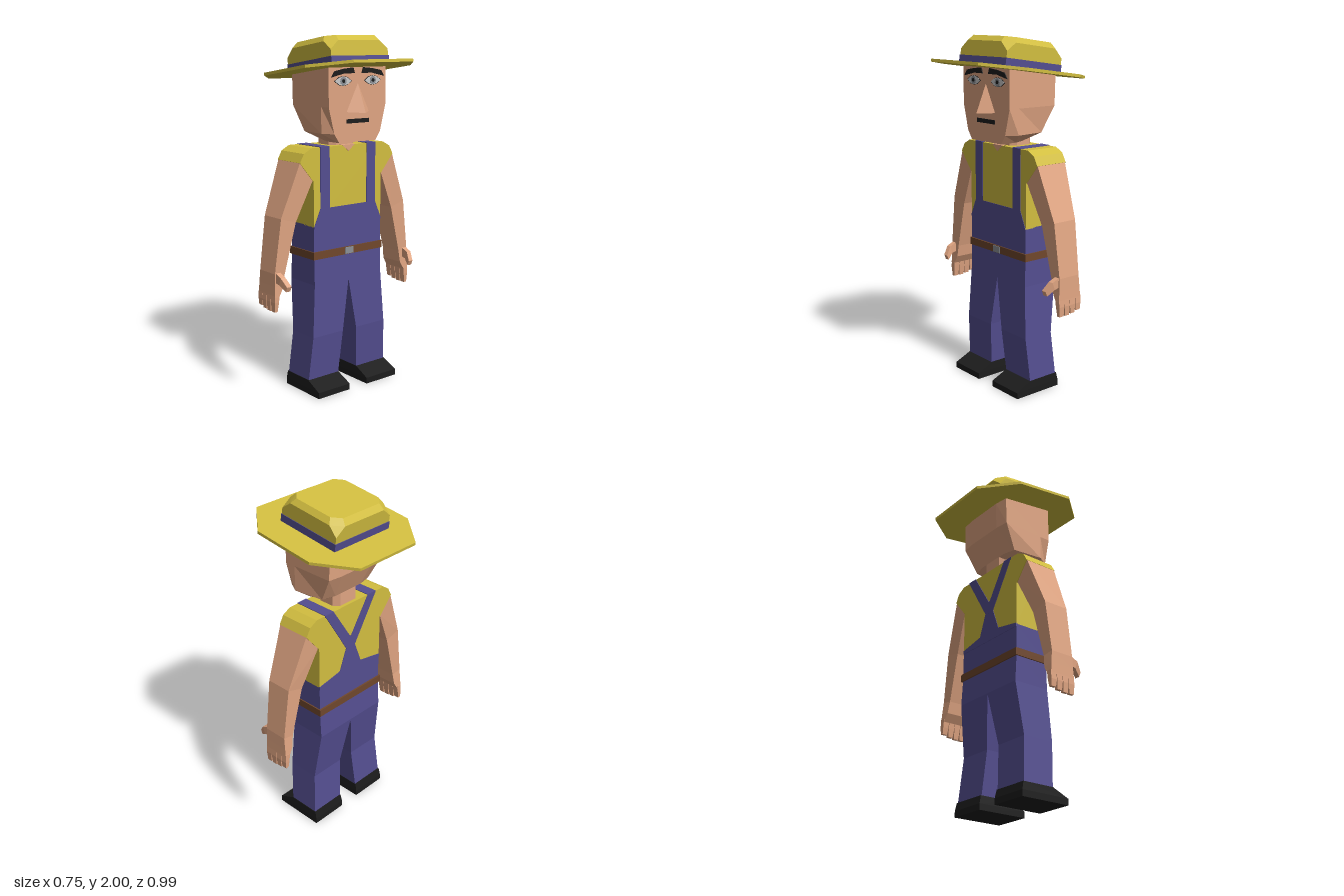
import * as THREE from 'three';
import { ConvexGeometry } from 'three/addons/geometries/ConvexGeometry.js';

const mat = (color) => new THREE.MeshStandardMaterial({ color, flatShading: true });
const SKIN = mat(0xe0a582), YELLOW = mat(0xd2be40), BLUE = mat(0x544e90), BLACK = mat(0x1c1c1c);
const BROWN = mat(0x70472c), WHITE = mat(0xe8e8e8), GREY = mat(0x8c9096);

function add(parent, name, geometry, material) {
  const mesh = new THREE.Mesh(geometry, material);
  mesh.name = name;
  parent.add(mesh);
  return mesh;
}

// Skin a stack of equal-length rings, cap both ends, and face it outwards
function loft(rings) {
  const tris = [], n = rings[0].length, last = rings[rings.length - 1];
  for (let r = 0; r < rings.length - 1; r++) {
    for (let i = 0; i < n; i++) {
      const j = (i + 1) % n, a = rings[r], b = rings[r + 1];
      tris.push([a[i], a[j], b[j]], [a[i], b[j], b[i]]);
    }
  }
  for (let i = 1; i < n - 1; i++) {
    tris.push([rings[0][0], rings[0][i + 1], rings[0][i]], [last[0], last[i], last[i + 1]]);
  }
  const v = (p) => new THREE.Vector3(...p);
  const volume = tris.reduce((s, [a, b, c]) => s + v(a).dot(v(b).cross(v(c))), 0);
  const flat = tris.flatMap((t) => (volume < 0 ? [t[0], t[2], t[1]] : t)).flat();
  const g = new THREE.BufferGeometry();
  g.setAttribute('position', new THREE.Float32BufferAttribute(flat, 3));
  g.computeVertexNormals();
  return g;
}

// Horizontal rectangle at height y
const rect = (y, x0, x1, z0, z1) => [[x0, y, z0], [x1, y, z0], [x1, y, z1], [x0, y, z1]];

// Outline in [z, y], extruded from x by depth towards +x
function panel(points, x, depth) {
  const shape = new THREE.Shape(points.map(([z, y]) => new THREE.Vector2(-z, y)));
  const g = new THREE.ExtrudeGeometry(shape, { depth, bevelEnabled: false });
  return g.rotateY(Math.PI / 2).translate(x, 0, 0);
}

// Complete a half outline by mirroring it across z = 0
const mirrored = (half) => [...half, ...half.slice().reverse().map(([z, y]) => [-z, y])];

function box(x0, x1, y0, y1, z0, z1) {
  return new THREE.BoxGeometry(x1 - x0, y1 - y0, z1 - z0)
    .translate((x0 + x1) / 2, (y0 + y1) / 2, (z0 + z1) / 2);
}

function buildLeg(s, side) {
  const leg = new THREE.Group();
  leg.name = side + 'Leg';
  add(leg, side + 'Trouser', loft([
    rect(0.07, -0.11, 0.08, s * 0.07, s * 0.285),
    rect(0.33, -0.09, 0.1, s * 0.05, s * 0.265),
    rect(0.63, -0.13, 0.09, 0, s * 0.245),
    rect(0.8, -0.12, 0.085, 0, s * 0.245),
    rect(0.965, -0.12, 0.085, 0, s * 0.245),
  ]), BLUE);
  add(leg, side + 'Shoe', loft([
    rect(0, -0.125, 0.18, s * 0.065, s * 0.29),
    rect(0.035, -0.125, 0.18, s * 0.065, s * 0.29),
    rect(0.08, -0.115, 0.08, s * 0.068, s * 0.287),
  ]), BLACK);
  return leg;
}

function buildArm(s, side) {
  const arm = new THREE.Group();
  arm.name = side + 'Arm';
  add(arm, side + 'Sleeve', panel([[0.235, 1.4], [0.26, 1.4], [0.31, 1.373], [0.337, 1.325], [0.25, 1.22], [0.235, 1.22]]
    .map(([z, y]) => [s * z, y]), -0.12, 0.205), YELLOW);
  // Ring from outer (z, y), inner (z, y) and the span in x
  const ring = ([zo, yo, zi, yi, x0, x1]) =>
    [[x0, yo, s * zo], [x1, yo, s * zo], [x1, yi, s * zi], [x0, yi, s * zi]];
  add(arm, side + 'BareArm', loft([
    [0.334, 1.33, 0.248, 1.225, -0.116, 0.082],
    [0.45, 1.03, 0.352, 1.0, -0.09, 0.062],
    [0.49, 0.73, 0.425, 0.72, -0.085, 0.055],
    [0.492, 0.66, 0.436, 0.65, -0.092, 0.057],
    [0.494, 0.6, 0.466, 0.6, -0.097, 0.06],
  ].map(ring)), SKIN);
  [0.53, 0.52, 0.515, 0.515].forEach((tip, i) => {
    const x = -0.098 + i * 0.04;
    add(arm, side + 'Finger', loft([
      [0.493, 0.62, 0.462, 0.62, x, x + 0.037],
      [0.496, 0.57, 0.468, 0.57, x, x + 0.037],
      [0.493, tip, 0.475, tip, x + 0.002, x + 0.032],
    ].map(ring)), SKIN);
  });
  add(arm, side + 'Thumb', loft([[0.03, 0.715, 0.47, 0.026], [0.09, 0.695, 0.468, 0.021], [0.128, 0.655, 0.452, 0.014]]
    .map(([x, y, z, r]) => [
      [x - r * 0.4, y - r, s * (z - 0.015)], [x + r * 0.4, y + r, s * (z - 0.015)],
      [x + r * 0.4, y + r, s * (z + 0.015)], [x - r * 0.4, y - r, s * (z + 0.015)],
    ])), SKIN);
  return arm;
}

function buildTorso() {
  const torso = new THREE.Group();
  torso.name = 'torso';
  add(torso, 'shirt', box(-0.12, 0.085, 0.96, 1.4, -0.245, 0.245), YELLOW);
  add(torso, 'bib', panel(mirrored([[0, 0.95], [0.245, 0.95], [0.245, 0.96], [0.2, 1.06], [0, 1.06]]), 0.08, 0.008), BLUE);
  add(torso, 'backPanel', panel(mirrored([[0, 0.95], [0.245, 0.95], [0.245, 0.97], [0.085, 1.0], [0.035, 1.13], [0, 1.2]]), -0.123, 0.01), BLUE);
  for (const s of [1, -1]) {
    add(torso, 'frontStrap', box(0.08, 0.088, 1.05, 1.4, s > 0 ? 0.135 : -0.2, s > 0 ? 0.2 : -0.135), BLUE);
    add(torso, 'shoulderStrap', box(-0.123, 0.088, 1.39, 1.403, s > 0 ? 0.135 : -0.2, s > 0 ? 0.2 : -0.135), BLUE);
    add(torso, 'backStrap', panel([[0, 1.12], [s * 0.035, 1.13], [s * 0.2, 1.4], [s * 0.135, 1.4], [0, 1.19]], -0.1235, 0.01), BLUE);
  }
  add(torso, 'neckline', panel([[-0.045, 1.402], [0.045, 1.402], [0, 1.365]], 0.06, 0.028), SKIN);
  add(torso, 'belt', box(-0.13, 0.093, 0.777, 0.82, -0.252, 0.252), BROWN);
  add(torso, 'buckle', box(0.085, 0.098, 0.78, 0.817, -0.03, 0.03), GREY);
  return torso;
}

function buildHead() {
  const head = new THREE.Group();
  head.name = 'head';
  // Each level: height, then half of its outline as [x, z] from face to back
  const levels = [
    [1.425, [0.165, 0.13], [0.06, 0.13], [-0.01, 0.1], [-0.03, 0.06]],
    [1.475, [0.165, 0.165], [0.1, 0.203], [-0.08, 0.18], [-0.1, 0.1]],
    [1.62, [0.165, 0.203], [0.1, 0.203], [-0.155, 0.203], [-0.165, 0.12]],
    [1.8, [0.165, 0.203], [0.1, 0.203], [-0.16, 0.203], [-0.172, 0.12]],
  ];
  const outline = ([y, ...half]) => [
    ...half.map(([x, z]) => [x, y, z]), ...half.slice().reverse().map(([x, z]) => [x, y, -z])];
  // The top level slopes to meet the underside of the hat
  const top = outline([0, ...levels[3].slice(1)]).map(([x, , z]) => [x, 1.812 + x * 0.139, z]);
  add(head, 'skull', loft([...levels.slice(0, 3).map(outline), top]), SKIN);
  add(head, 'neck', loft([1.38, 1.5].map((y) => [
    [0.05, y, 0.06], [0.02, y, 0.09], [-0.07, y, 0.09], [-0.1, y, 0.06],
    [-0.1, y, -0.06], [-0.07, y, -0.09], [0.02, y, -0.09], [0.05, y, -0.06]])), SKIN);
  add(head, 'nose', new ConvexGeometry([[0.16, 1.755, 0], [0.16, 1.59, 0.085], [0.16, 1.59, -0.085], [0.232, 1.585, 0]]
    .map((p) => new THREE.Vector3(...p))), SKIN);
  add(head, 'mouth', box(0.16, 0.168, 1.528, 1.551, -0.08, 0.08), BLACK);
  const disc = (r, z, x) => new THREE.CylinderGeometry(r, r, 0.004, 12).rotateZ(Math.PI / 2).translate(x, 1.757, z);
  for (const s of [1, -1]) {
    const m = (pts) => pts.map(([z, y]) => [s * z, y]);
    const almond = (k) => m([[-1, 0], [-0.5, 0.8], [0, 1], [0.5, 0.8], [1, 0], [0.5, -0.8], [0, -1], [-0.5, -0.8]]
      .map(([u, v]) => [0.105 + u * 0.057 * k, 1.757 + v * 0.024 * k]));
    add(head, 'eyeOutline', panel(almond(1.08), 0.16, 0.0065), BLACK);
    add(head, 'eyeWhite', panel(almond(1), 0.16, 0.008), WHITE);
    add(head, 'iris', disc(0.022, s * 0.105, 0.168), GREY);
    add(head, 'pupil', disc(0.01, s * 0.105, 0.17), BLACK);
    add(head, 'eyebrow', panel(m([[0.188, 1.778], [0.165, 1.81], [0.1, 1.822], [0.035, 1.828], [0.025, 1.797], [0.1, 1.797]]), 0.16, 0.01), BLACK);
  }
  return head;
}

function buildHat() {
  const hat = new THREE.Group();
  hat.name = 'hat';
  const brim = [[0.38, 0.21], [0.186, 0.374], [-0.186, 0.374], [-0.38, 0.21],
    [-0.38, -0.21], [-0.186, -0.374], [0.186, -0.374], [0.38, -0.21]];
  add(hat, 'brim', loft([-0.008, 0.008].map((y) => brim.map(([x, z]) => [x, y, z]))), YELLOW);
  add(hat, 'hatBand', box(-0.197, 0.197, 0, 0.05, -0.205, 0.205), BLUE);
  // Crown with its upper corners cut away
  const points = [];
  for (const sx of [1, -1]) for (const sz of [1, -1]) {
    for (const [x, y, z] of [[0.194, 0.04, 0.202], [0.194, 0.085, 0.202], [0.194, 0.133, 0.145],
      [0.14, 0.133, 0.202], [0.166, 0.163, 0.135], [0.12, 0.163, 0.18]]) {
      points.push(new THREE.Vector3(sx * x, y, sz * z));
    }
  }
  add(hat, 'crown', new ConvexGeometry(points), YELLOW);
  hat.position.y = 1.815;
  hat.rotation.z = 0.138;
  return hat;
}

export function createModel() {
  const model = new THREE.Group();
  model.name = 'farmer';
  // The figure looks along +x, so its left side is at -z
  for (const [s, side] of [[-1, 'left'], [1, 'right']]) model.add(buildLeg(s, side), buildArm(s, side));
  model.add(buildTorso(), buildHead(), buildHat());
  return model;
}
